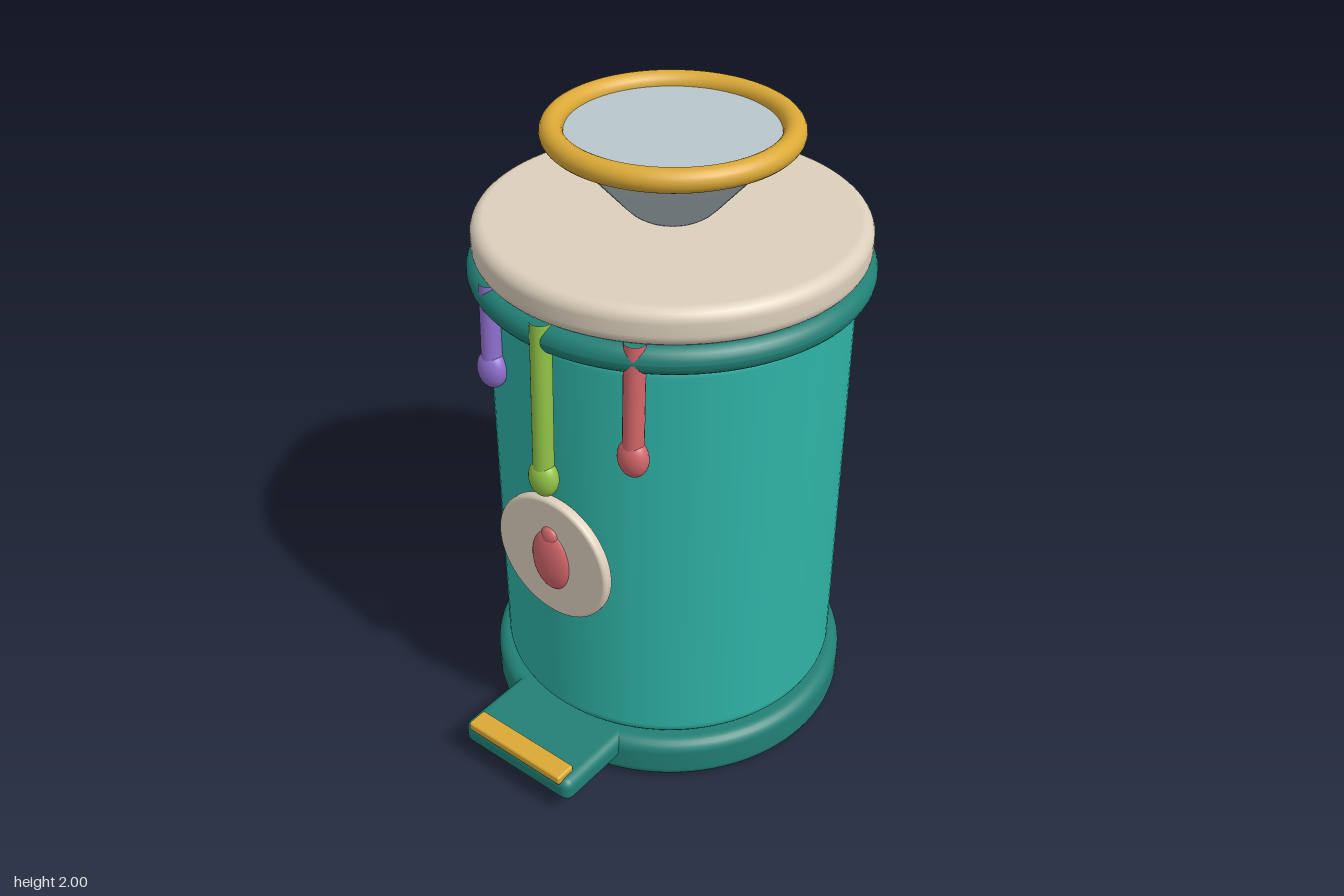
import * as THREE from 'three';
import { RoundedBoxGeometry } from 'three/addons/geometries/RoundedBoxGeometry.js';

const AXIS_Z = -0.097; // the bin's own axis; the pedal sticks out in front

function material(name, color) {
  const m = new THREE.MeshStandardMaterial({ color });
  m.name = name;
  return m;
}

function add(parent, name, geometry, mat, x = 0, y = 0, z = 0) {
  const mesh = new THREE.Mesh(geometry, mat);
  mesh.name = name;
  mesh.position.set(x, y, z);
  parent.add(mesh);
  return mesh;
}

// Solid disc or drum with rounded edges, standing from y0 to y1
function roundedDrum(radius, y0, y1, bevel, segments = 96) {
  const pts = [new THREE.Vector2(0, y0)];
  const corner = (cy, start) => {
    for (let i = 0; i <= 6; i++) {
      const a = start + (i / 6) * Math.PI / 2;
      pts.push(new THREE.Vector2(radius - bevel + Math.cos(a) * bevel, cy + Math.sin(a) * bevel));
    }
  };
  corner(y0 + bevel, -Math.PI / 2);
  corner(y1 - bevel, 0);
  pts.push(new THREE.Vector2(0, y1));
  return new THREE.LatheGeometry(pts, segments);
}

function ellipsoid(rx, ry, rz) {
  return new THREE.SphereGeometry(1, 32, 20).scale(rx, ry, rz);
}

export function createModel() {
  const group = new THREE.Group();
  group.name = 'pedalBin';

  const teal = material('teal', 0x2fb3a6);
  const darkTeal = material('dark teal', 0x218076);
  const cream = material('cream', 0xdccfbc);
  const gold = material('gold', 0xdba936);
  const steel = material('pale steel', 0xb9c6cc);
  const red = material('coral red', 0xd2666a);
  const purple = material('purple', 0x9070d0);
  const green = material('lime green', 0x92c447);

  // Drum, base, rim and lid
  add(group, 'base', roundedDrum(0.585, 0, 0.147, 0.04), darkTeal, 0, 0, AXIS_Z);
  add(group, 'body', roundedDrum(0.545, 0.145, 1.54, 0.05), teal, 0, 0, AXIS_Z);
  add(group, 'rim', roundedDrum(0.598, 1.518, 1.606, 0.0435), darkTeal, 0, 0, AXIS_Z);
  add(group, 'lid', roundedDrum(0.58, 1.6, 1.715, 0.04), cream, 0, 0, AXIS_Z);

  // Funnel with a softly rounded foot, closed by a flat disc inside the gold ring
  const funnelProfile = [[0, 1.705], [0.08, 1.708], [0.105, 1.714], [0.125, 1.728], [0.145, 1.748], [0.32, 1.945], [0.33, 1.965]]
    .map(([r, y]) => new THREE.Vector2(r, y));
  add(group, 'funnel', new THREE.LatheGeometry(funnelProfile, 72), steel, 0, 0, AXIS_Z);
  add(group, 'funnelTop', new THREE.CircleGeometry(0.335, 72).rotateX(-Math.PI / 2), steel, 0, 1.965, AXIS_Z);
  add(group, 'funnelRing', new THREE.TorusGeometry(0.338, 0.034, 20, 96).rotateX(Math.PI / 2), gold, 0, 1.966, AXIS_Z);

  // Foot pedal and its tread
  add(group, 'pedal', new RoundedBoxGeometry(0.44, 0.085, 0.34, 4, 0.03), darkTeal, 0, 0.105, 0.52);
  add(group, 'pedalTread', new RoundedBoxGeometry(0.38, 0.032, 0.07, 3, 0.008), gold, 0, 0.15, 0.66);

  // Drips hanging from under the lid, each ending in a bulb
  const drips = [
    ['leftDrip', red, 0.265, 1.25, 0.402, 0.414],
    ['middleDrip', green, 0, 1.105, 0.474, 0.491],
    ['rightDrip', purple, -0.25, 1.337, 0.406, 0.418],
  ];
  for (const [name, mat, x, y, zTop, zEnd] of drips) {
    const drip = new THREE.Group();
    drip.name = name;
    const path = new THREE.LineCurve3(new THREE.Vector3(x, 1.612, zTop), new THREE.Vector3(x, y, zEnd));
    add(drip, name + 'Stem', new THREE.TubeGeometry(path, 4, 0.031, 20), mat);
    add(drip, name + 'Bulb', ellipsoid(0.049, 0.061, 0.038), mat, x, y, zEnd);
    group.add(drip);
  }

  // Round badge with a raised oval and its small knob
  const badge = new THREE.Group();
  badge.name = 'badge';
  badge.position.set(0, 0.8, 0);
  const plate = roundedDrum(0.21, 0, 0.036, 0.012, 72).rotateX(Math.PI / 2);
  add(badge, 'badgePlate', plate, cream, 0, 0, 0.443);
  add(badge, 'badgeOval', ellipsoid(0.073, 0.108, 0.034), red, 0, -0.008, 0.472);
  add(badge, 'badgeKnob', ellipsoid(0.031, 0.031, 0.018), red, 0, 0.084, 0.478);
  group.add(badge);

  return group;
}
